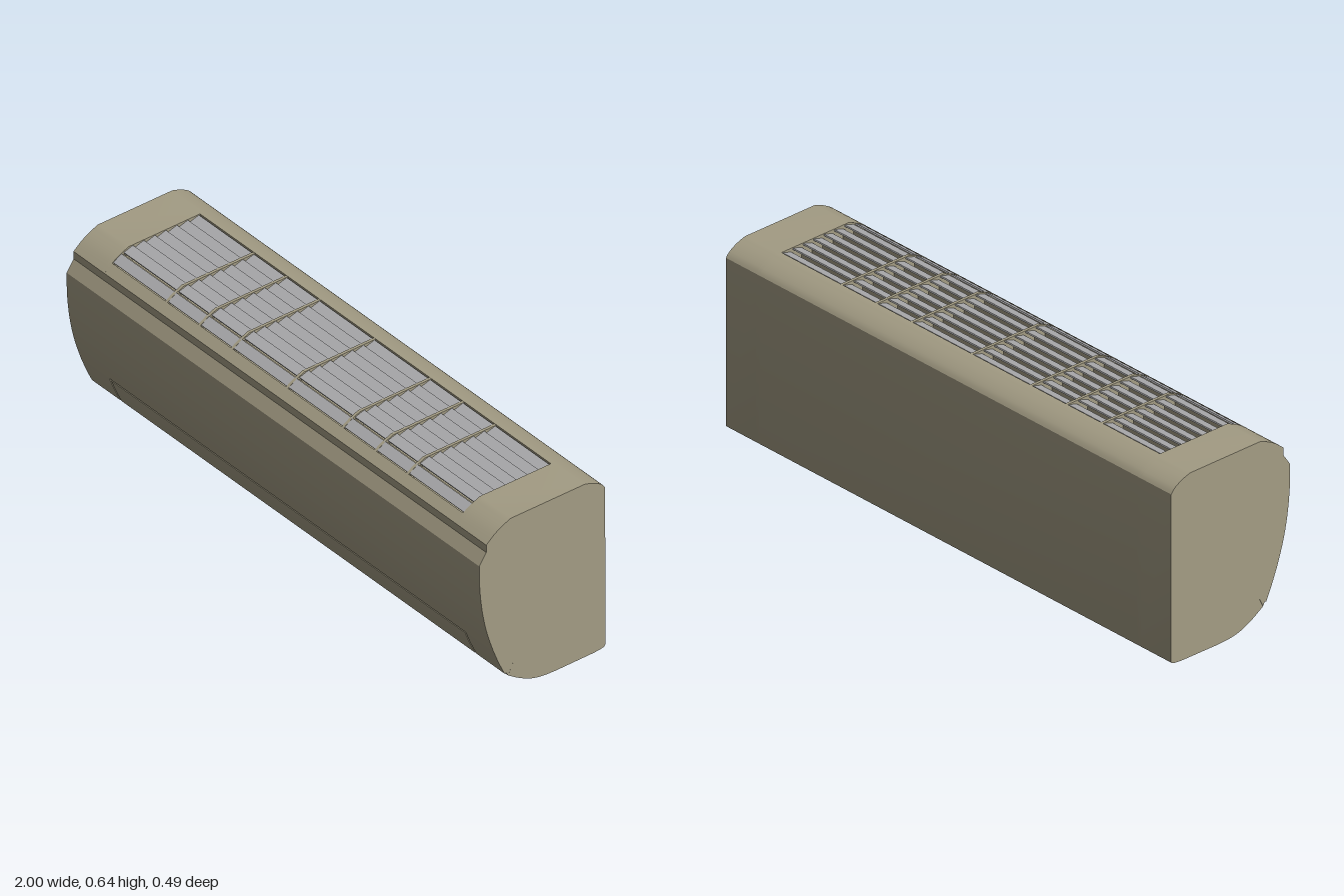
import * as THREE from 'three';
import { toCreasedNormals } from 'three/addons/utils/BufferGeometryUtils.js';

const shell = new THREE.MeshStandardMaterial({ color: 0xa39c84 });
const grey = new THREE.MeshStandardMaterial({ color: 0xaaaaac });

const pts = (list) => list.map(([z, y]) => new THREE.Vector2(z, y));
const smooth = (list, n = 14) => new THREE.SplineCurve(pts(list)).getPoints(n);

// Extrude a (z, y) profile along x between x0 and x1.
function slab(points, x0, x1) {
  const geo = new THREE.ExtrudeGeometry(new THREE.Shape(points), { depth: x1 - x0, bevelEnabled: false });
  geo.rotateY(-Math.PI / 2).translate(x1, 0, 0);
  return toCreasedNormals(geo, 0.45);
}

function add(parent, name, geo, mat = shell) {
  const mesh = new THREE.Mesh(geo, mat);
  mesh.name = name;
  parent.add(mesh);
  return mesh;
}

// Profile pieces, shared by the casing and the front panel
const innerLow = smooth([[0.113, 0.108], [0.13, 0.127], [0.152, 0.167]], 6);
const innerHigh = smooth([[0.155, 0.174], [0.18, 0.237], [0.2, 0.34], [0.212, 0.44], [0.22, 0.555]]);
const outerHigh = smooth([[0.247, 0.515], [0.245, 0.43], [0.235, 0.34], [0.217, 0.255], [0.191, 0.174]]);
const outerLow = smooth([[0.188, 0.167], [0.17, 0.122], [0.148, 0.075]], 6);
const topFront = smooth([[0.22, 0.582], [0.19, 0.607], [0.16, 0.625], [0.125, 0.64]], 6);
const topBack = smooth([[-0.165, 0.64], [-0.2, 0.628], [-0.23, 0.61], [-0.243, 0.594]], 8);
const bottomBack = smooth([[-0.244, 0.014], [-0.236, 0.005], [-0.2, 0.001]], 6);
const bottomFront = smooth([[-0.05, 0], [0, 0.003], [0.045, 0.013], [0.09, 0.034], [0.135, 0.063]], 12);
const floorY = 0.585, grilleFront = 0.19, grilleBack = -0.152;

// Casing cross-section, optionally cut by the grille well, outlet slot or flap seam
function casing({ well = false, slot = false, seam = false }) {
  return [
    ...(well
      ? pts([[0.22, 0.582], [grilleFront, 0.607], [grilleFront, floorY], [grilleBack, floorY], [grilleBack, 0.64]])
      : topFront),
    ...topBack,
    ...bottomBack,
    ...(slot ? pts([[-0.19, 0], [-0.19, 0.006], [-0.06, 0.05], [-0.06, 0]]) : []),
    ...(seam ? pts([[-0.05, 0], [-0.045, 0.02], [0.03, 0.03], [0.1, 0.068]]) : bottomFront),
    ...innerLow, ...innerHigh,
  ];
}

export function createModel() {
  const model = new THREE.Group();
  model.name = 'wallAirConditioner';

  // Casing: centre section, then mirrored sections out to the ends
  const body = new THREE.Group();
  body.name = 'casing';
  model.add(body);
  const flapX = 0.857, seamX = 0.863, grilleX = 0.85;
  add(body, 'casingCentre', slab(casing({ well: true, slot: true }), -grilleX, grilleX));
  const sections = [
    ['casingShoulder', {}, grilleX, flapX],
    ['casingSeam', { seam: true }, flapX, seamX],
    ['casingEnd', {}, seamX, 1],
  ];
  for (const [name, cuts, a, b] of sections) {
    add(body, name + 'Left', slab(casing(cuts), a, b));
    add(body, name + 'Right', slab(casing(cuts), -b, -a));
  }

  // Curved front panel with the flap let into its lower edge
  const lowProfile = [...outerLow, ...pts([[0.143, 0.077], [0.135, 0.064]]), ...innerLow];
  add(model, 'frontPanel', slab([...outerHigh, ...innerHigh], -1, 1));
  add(model, 'flap', slab(lowProfile, -flapX, flapX));
  // End pieces reach up to the panel so that only the flap has a top seam
  const endProfile = [outerHigh.at(-1), ...lowProfile, innerHigh[0]];
  add(model, 'panelEndLeft', slab(endProfile, seamX, 1));
  add(model, 'panelEndRight', slab(endProfile, -1, -seamX));

  // Sloping grey surface inside the outlet slot
  add(model, 'outletSurface',
    slab(pts([[-0.19, 0.003], [-0.061, 0.047], [-0.061, 0.052], [-0.19, 0.008]]), -grilleX, grilleX), grey);

  // Top intake grille: ribs along z and tilted slats along x
  const grille = new THREE.Group();
  grille.name = 'intakeGrille';
  model.add(grille);
  const ribProfile = pts([[grilleBack, floorY], [grilleFront, floorY], [grilleFront, 0.606],
    [0.16, 0.624], [0.125, 0.639], [grilleBack, 0.639]]);
  for (const x of [-0.588, -0.429, -0.27, -0.004, 0.266, 0.425, 0.581]) {
    add(grille, 'rib', slab(ribProfile, x - 0.005, x + 0.005));
  }
  const rows = 8, pitch = (grilleFront - grilleBack) / rows;
  for (let i = 0; i < rows; i++) {
    const z = grilleBack + (i + 0.5) * pitch;
    const last = i === rows - 1;
    const slat = add(grille, 'slat', new THREE.BoxGeometry(2 * grilleX, 0.005, 0.037), grey);
    slat.position.set(0, last ? 0.615 : 0.63, z);
    slat.rotation.x = last ? 0.55 : 0.3;
    // Cross bar closing the gap beneath each slat
    if (i > 0) {
      const bar = add(grille, 'crossBar', new THREE.BoxGeometry(2 * grilleX, 0.035, 0.005));
      bar.position.set(0, floorY + 0.0175, z - pitch / 2);
    }
  }
  return model;
}
